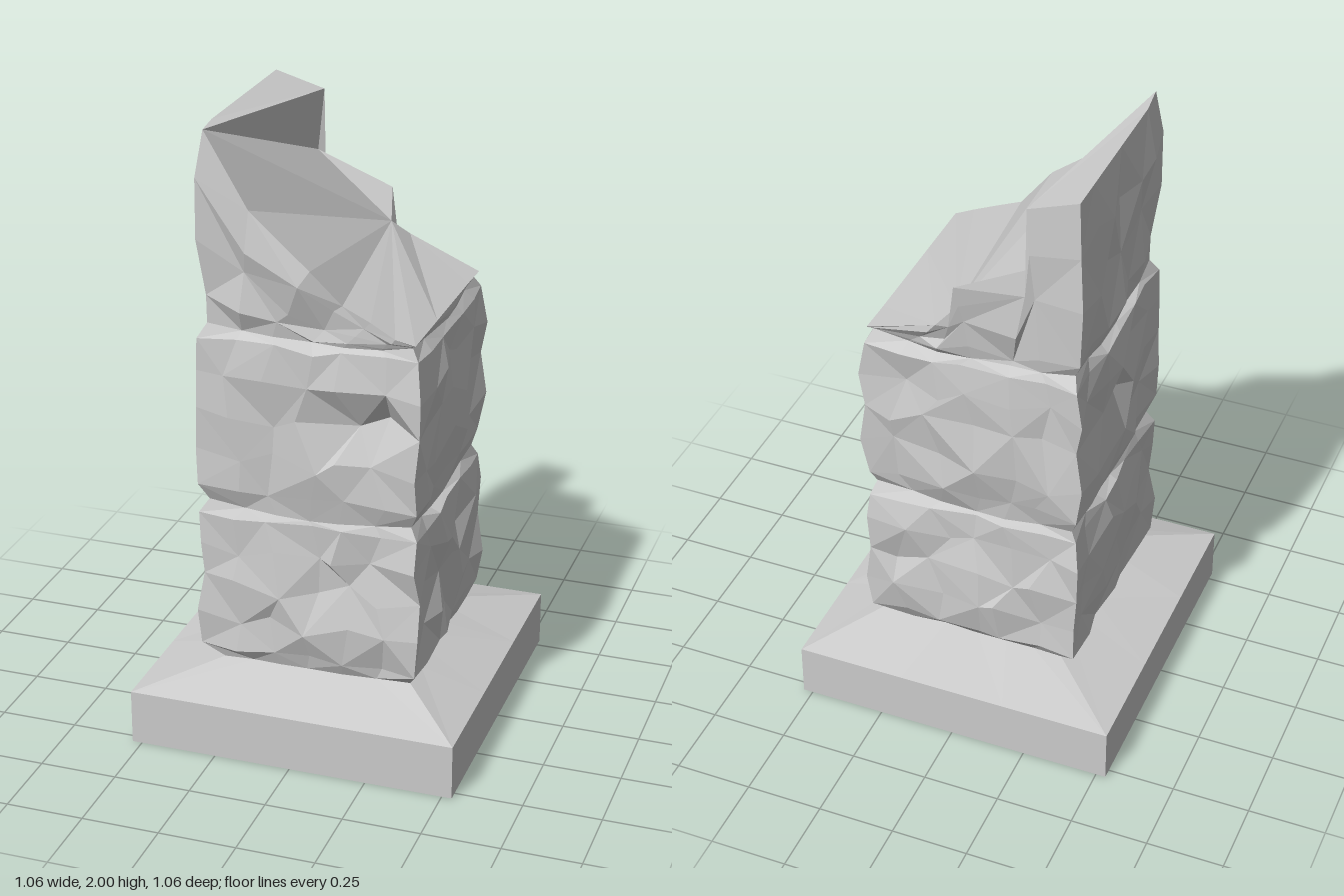
import * as THREE from 'three';

const SEG = 6; // points along each side of the square section
const N = SEG * 4;

// small seeded noise in -1..1
function makeNoise(seed) {
  let s = seed;
  return () => {
    s = (s * 1664525 + 1013904223) % 4294967296;
    return (s / 4294967296) * 2 - 1;
  };
}

// point on one of the four sides: u runs along the side, d is the distance outward
const sidePoint = (side, u, d, y) => [
  new THREE.Vector3(u, y, d), new THREE.Vector3(d, y, -u),
  new THREE.Vector3(-u, y, -d), new THREE.Vector3(-d, y, u),
][side];

// square ring, running front, right, back, left, roughened by noise
function squareRing(noise, y, half, rough = 0, wobble = 0) {
  const ring = [];
  for (let i = 0; i < N; i++) {
    const side = Math.floor(i / SEG), j = i % SEG;
    let u = -half + (2 * half * j) / SEG;
    let d = half + noise() * rough;
    const shift = noise(), lift = noise();
    if (j === 0) {
      u += shift * Math.min(0.014, rough);
      d = half + (d - half) * 0.45;
    } else u += shift * Math.min(0.045, rough * 2);
    const p = sidePoint(side, u, d, y + lift * (j ? wobble : wobble * 0.4));
    // chipped ledge on the front of the middle block
    if (side === 0 && Math.hypot(p.x - 0.16, p.y - 1.12) < 0.1) p.z -= 0.05;
    ring.push(p);
  }
  return ring;
}

// joint between blocks, sagging in the middle of each side
function seamRing(noise, y) {
  const ring = squareRing(noise, y, 0.328, 0.006, 0.006);
  ring.forEach((p, i) => { p.y -= 0.025 * Math.sin((Math.PI * (i % SEG)) / SEG); });
  return ring;
}

// foot of the pillar, undercut at the back and on its right
function footRing(noise) {
  const ring = squareRing(noise, 0.25, 0.332, 0.005, 0.004);
  for (const p of ring) {
    p.y += 0.012 * (p.x + p.z) / 0.66;
    if (p.x < 0) p.x *= 0.87;
    if (p.z < 0) p.z *= 0.92;
  }
  return ring;
}

// broken rim: [position along side, height, distance outward]
const frontRim = [[-0.325, 2, 0.33], [-0.18, 1.77, 0.345], [0.02, 1.61, 0.37],
  [0.11, 1.5, 0.335], [0.2, 1.46, 0.34], [0.28, 1.42, 0.35]];
const backRim = [[-0.34, 1.4, 0.34], [-0.1, 1.49, 0.37], [-0.05, 1.54, 0.33],
  [-0.04, 1.64, 0.37], [0.2, 1.75, 0.34], [0.18, 1.95, 0.345]];

function brokenRim() {
  const rim = [];
  for (let i = 0; i < N; i++) {
    const side = Math.floor(i / SEG), j = i % SEG;
    const even = -0.335 + (0.67 * j) / SEG;
    const [u, y, d] = side === 0 ? frontRim[j] : side === 2 ? backRim[j]
      : [even, side === 1 ? 1.4 : 2, 0.338];
    rim.push(sidePoint(side, u, d, y));
  }
  return rim;
}

// triangles between successive rings, with the diagonals alternating
function loftIndex(rings) {
  const index = [];
  for (let r = 0; r < rings.length - 1; r++) {
    for (let i = 0; i < N; i++) {
      const a = r * N + i, b = r * N + ((i + 1) % N), c = a + N, d = b + N;
      if ((r + i) % 2) index.push(a, b, d, a, d, c);
      else index.push(a, b, c, b, d, c);
    }
  }
  return index;
}

function facetedMesh(name, rings, index, material) {
  const indexed = new THREE.BufferGeometry().setFromPoints(rings.flat());
  indexed.setIndex(index);
  const geometry = indexed.toNonIndexed();
  geometry.computeVertexNormals();
  const mesh = new THREE.Mesh(geometry, material);
  mesh.name = name;
  return mesh;
}

function pillarRings(noise, foot) {
  const rings = [foot];

  // two whole blocks, pinched at their seams: [fraction of height, half width]
  const profile = [[0.09, 0.35], [0.3, 0.358], [0.53, 0.354], [0.74, 0.358], [0.93, 0.35]];
  for (const [y0, y1] of [[0.25, 0.8], [0.8, 1.39]]) {
    for (const [t, half] of profile) {
      const edge = t < 0.1 || t > 0.9;
      rings.push(squareRing(noise, y0 + (y1 - y0) * t, half, edge ? 0.014 : 0.024, edge ? 0.012 : 0.036));
    }
    rings.push(seamRing(noise, y1));
  }

  // broken block, stretched between the upper seam and the rim
  const seam = rings.at(-1), rim = brokenRim();
  for (const t of [0.12, 0.42, 0.74]) {
    rings.push(seam.map((p, i) => {
      const q = p.clone().lerp(rim[i], t);
      const size = Math.min(1, (rim[i].y - p.y) / 0.25);
      const push = size * (0.014 + noise() * 0.02);
      return q.add(sidePoint(Math.floor(i / SEG), i % SEG ? 0 : -push, push, noise() * 0.03 * size));
    }));
  }
  rings.push(rim);
  return rings;
}

// slanted break: fans from two low points at the back, then the upright spur
function breakIndex(start) {
  const index = [];
  const face = (a, b, c) => index.push(start + a, start + b, start + c);
  for (let i = 0; i < 8; i++) face(14, i, i + 1);
  face(14, 8, 13);
  for (let i = 8; i < 12; i++) face(13, i, i + 1);
  face(14, 15, 16);
  face(14, 16, 0);
  face(16, 17, 0);
  for (let i = 18; i < N; i++) face(17, i, (i + 1) % N);
  return index;
}

export function createModel() {
  const group = new THREE.Group();
  const stone = new THREE.MeshStandardMaterial({ color: 0xcccccc, flatShading: true, side: THREE.DoubleSide });
  const noise = makeNoise(71);
  const foot = footRing(noise);

  // hollow square plinth, open underneath, sloping up to the foot of the pillar
  const plinth = [squareRing(noise, 0, 0.532), squareRing(noise, 0.18, 0.532), foot];
  group.add(facetedMesh('plinth', plinth, loftIndex(plinth), stone));

  // hollow pillar of rough blocks with a broken top
  const pillar = pillarRings(noise, foot);
  const index = [...loftIndex(pillar), ...breakIndex((pillar.length - 1) * N)];
  group.add(facetedMesh('brokenPillar', pillar, index, stone));
  return group;
}
